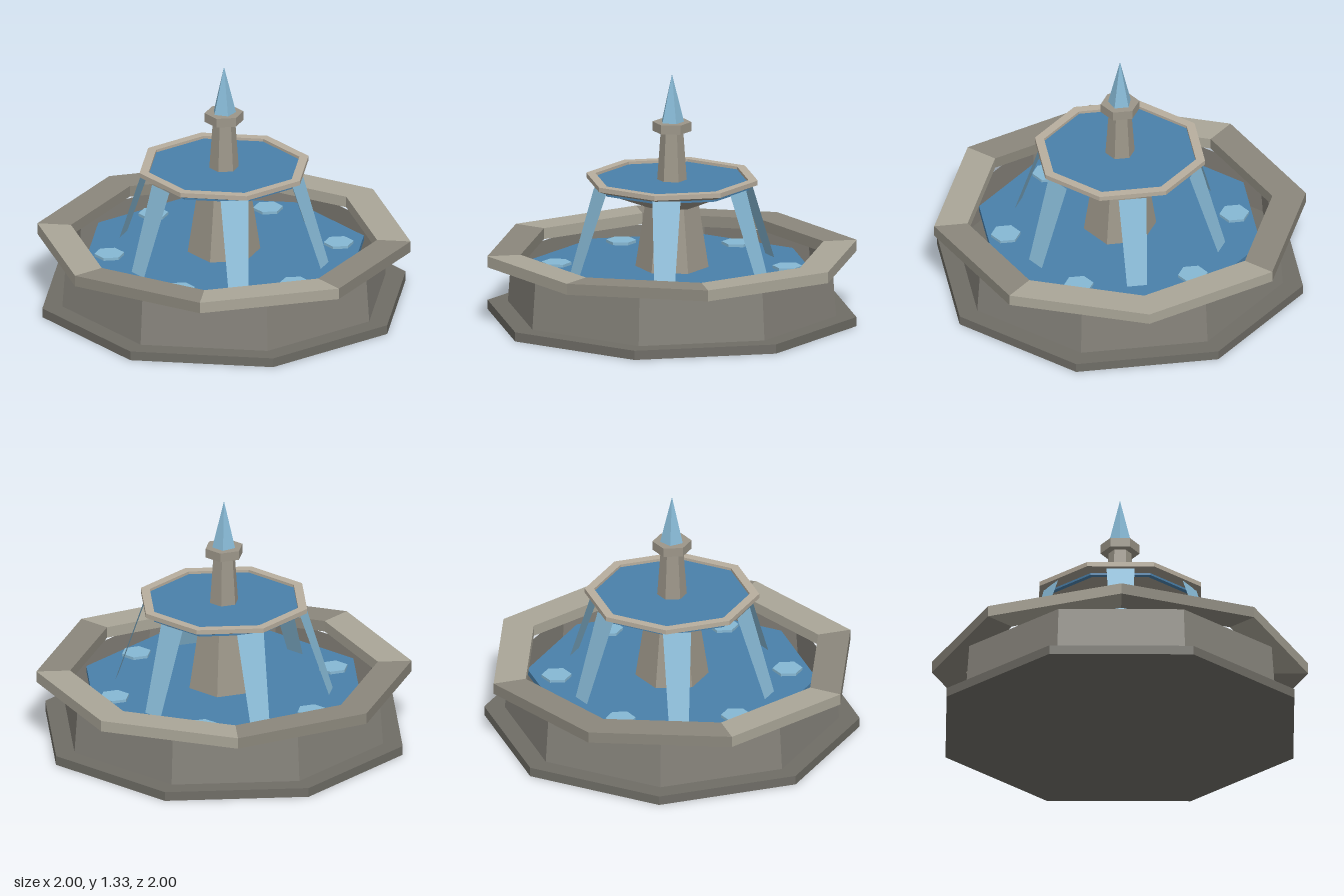
import * as THREE from 'three';

const paint = (color, side = THREE.FrontSide) =>
  new THREE.MeshStandardMaterial({ color, flatShading: true, side });

const MAT = {
  base: paint(0x6f6d66),
  wall: paint(0x85827a, THREE.DoubleSide),
  rimLight: paint(0xaaa698),
  rimDark: paint(0x8b877c),
  trim: paint(0xb8ae9e),
  stone: paint(0x9c9689),
  water: paint(0x4a80aa),
  splash: paint(0x86b8d4),
  stream: paint(0x86b8d4, THREE.DoubleSide),
};
const EIGHTH = Math.PI / 4;

// Prism or frustum standing between two heights
function prism(name, mat, rTop, rBottom, y0, y1, sides, turn = 0, open = false) {
  const geo = new THREE.CylinderGeometry(rTop, rBottom, y1 - y0, sides, 1, open, turn);
  const mesh = new THREE.Mesh(geo, mat);
  mesh.name = name;
  mesh.position.y = (y0 + y1) / 2;
  return mesh;
}

// One mitred stone of an octagonal kerb, between angles a and a + 45 degrees
function kerbStone(name, mat, rIn, rOut, a, y0, y1) {
  const at = (r, t) => new THREE.Vector2(r * Math.cos(t), r * Math.sin(t));
  const shape = new THREE.Shape([
    at(rIn, a), at(rOut, a), at(rOut, a + EIGHTH), at(rIn, a + EIGHTH),
  ]);
  const geo = new THREE.ExtrudeGeometry(shape, { depth: y1 - y0, bevelEnabled: false });
  geo.rotateX(-Math.PI / 2);
  const mesh = new THREE.Mesh(geo, mat);
  mesh.name = name;
  mesh.position.y = y0;
  return mesh;
}

// Thin tapered sheet of water falling outward along +x
function streamGeometry() {
  const geo = new THREE.BufferGeometry();
  geo.setAttribute('position', new THREE.Float32BufferAttribute([
    0.425, 0.735, 0.075, 0.425, 0.735, -0.075,
    0.585, 0.26, 0.053, 0.585, 0.26, -0.053,
  ], 3));
  geo.setIndex([0, 2, 1, 1, 2, 3]);
  geo.computeVertexNormals();
  return geo;
}

export function createModel() {
  const model = new THREE.Group();
  model.name = 'fountain';
  const half = EIGHTH / 2;

  // Lower basin: plinth, open wall shell and water
  model.add(
    prism('plinth', MAT.base, 1, 1, 0, 0.05, 8, half),
    prism('basinWall', MAT.wall, 0.87, 0.89, 0.05, 0.32, 8, half, true),
    prism('basinWater', MAT.water, 0.77, 0.77, 0.25, 0.28, 8, half),
  );

  // Basin kerb of light and dark stones, its corners on the axes
  const lightStones = [0, 3, 5, 7];
  const basinRim = new THREE.Group();
  basinRim.name = 'basinRim';
  for (let i = 0; i < 8; i++) {
    const mat = lightStones.includes(i) ? MAT.rimLight : MAT.rimDark;
    basinRim.add(kerbStone('rimStone', mat, 0.82, 1, i * EIGHTH, 0.32, 0.38));
  }
  model.add(basinRim);

  // Column and upper bowl
  model.add(
    prism('lowerColumn', MAT.stone, 0.14, 0.23, 0.05, 0.64, 6),
    prism('upperBowl', MAT.stone, 0.465, 0.15, 0.62, 0.745, 8, half),
    prism('upperWater', MAT.water, 0.417, 0.417, 0.715, 0.755, 8, half),
  );
  const bowlRim = new THREE.Group();
  bowlRim.name = 'bowlRim';
  for (let i = 0; i < 8; i++) {
    bowlRim.add(kerbStone('bowlRimStone', MAT.trim, 0.415, 0.465, half + i * EIGHTH, 0.745, 0.77));
  }
  model.add(bowlRim);

  // Finial: shaft, collar and pointed jet
  model.add(
    prism('upperColumn', MAT.stone, 0.06, 0.08, 0.74, 1.02, 6),
    prism('collar', MAT.stone, 0.104, 0.104, 1.02, 1.07, 6),
    prism('jet', MAT.splash, 0, 0.064, 1.07, 1.33, 5, -Math.PI / 2),
  );

  // Six falling streams, with a floating splash disc between each pair
  const sheet = streamGeometry();
  for (let i = 0; i < 6; i++) {
    const angle = (i * Math.PI) / 3;
    const stream = new THREE.Mesh(sheet, MAT.stream);
    stream.name = 'stream';
    stream.rotation.y = angle;
    const splash = prism('splash', MAT.splash, 0.08, 0.08, 0.28, 0.295, 6);
    splash.position.x = 0.615 * Math.cos(angle + Math.PI / 6);
    splash.position.z = 0.615 * Math.sin(angle + Math.PI / 6);
    model.add(stream, splash);
  }
  return model;
}
